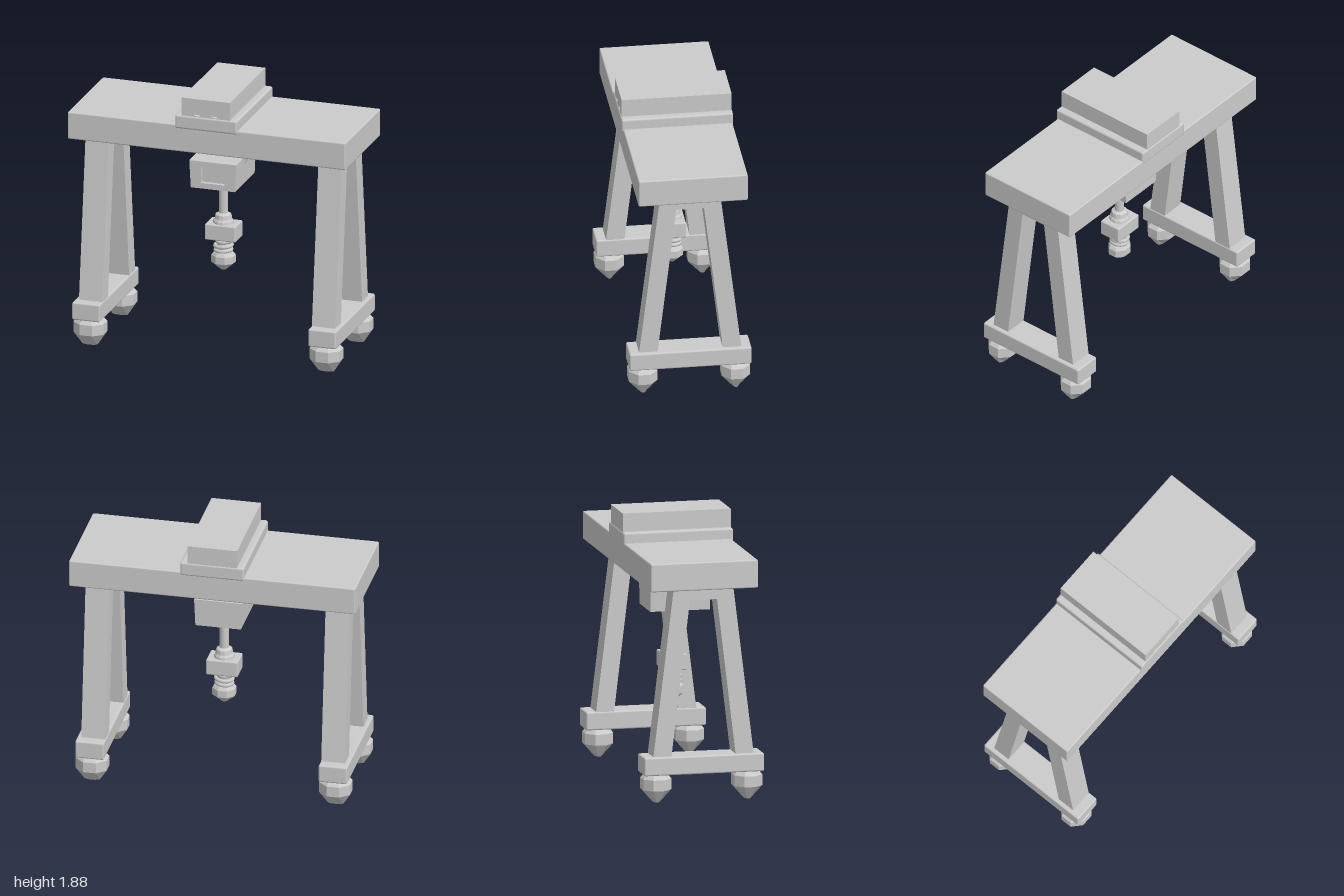
import * as THREE from 'three';
import { RoundedBoxGeometry } from 'three/addons/geometries/RoundedBoxGeometry.js';

const smooth = new THREE.MeshStandardMaterial({ color: 0xcccccc });
const flat = new THREE.MeshStandardMaterial({ color: 0xcccccc, flatShading: true });

function add(parent, name, geometry, material = flat) {
  const mesh = new THREE.Mesh(geometry, material);
  mesh.name = name;
  parent.add(mesh);
  return mesh;
}

// Softly rounded block given by its limits on each axis
function block(parent, name, [x0, x1], [y0, y1], [z0, z1], r = 0.01) {
  const geo = new RoundedBoxGeometry(x1 - x0, y1 - y0, z1 - z0, 2, r);
  geo.translate((x0 + x1) / 2, (y0 + y1) / 2, (z0 + z1) / 2);
  return add(parent, name, geo, smooth);
}

const polygon = (points) => new THREE.Shape(points.map(([x, y]) => new THREE.Vector2(x, y)));
const rect = (x0, x1, y0, y1) => polygon([[x0, y0], [x1, y0], [x1, y1], [x0, y1]]);

function extrude(shape, z0, z1) {
  return new THREE.ExtrudeGeometry(shape, { depth: z1 - z0, bevelEnabled: false }).translate(0, 0, z0);
}

// Solid outline whose front face carries shallow recesses
function recessedCase(parent, name, outline, holes, z0, z1, depth) {
  const group = new THREE.Group();
  group.name = name;
  add(group, name + 'Body', extrude(polygon(outline), z0, z1 - depth));
  const front = polygon(outline);
  front.holes = holes;
  add(group, name + 'Front', extrude(front, z1 - depth, z1));
  parent.add(group);
}

// Turned part from [radius, y] pairs, listed bottom to top
function turned(parent, name, profile, sides, material = flat) {
  const geo = new THREE.LatheGeometry(profile.map(([r, y]) => new THREE.Vector2(r, y)), sides, Math.PI / sides);
  return add(parent, name, geo, material);
}

function createModel() {
  const model = new THREE.Group();
  model.name = 'gantryCrane';

  // Main beam and the trolley riding on it
  block(model, 'beam', [-1, 1], [1.49, 1.685], [-0.387, 0.365]);
  block(model, 'trolleyBase', [-0.223, 0.223], [1.66, 1.758], [-0.392, 0.377], 0.014);
  recessedCase(model, 'trolleyCab',
    [[-0.175, 1.74], [0.172, 1.74], [0.172, 1.885], [-0.175, 1.885]],
    [rect(-0.085, -0.045, 1.762, 1.785), rect(0.04, 0.08, 1.762, 1.785)], -0.387, 0.37, 0.025);

  // A-shaped legs, foot beams and wheels, mirrored left and right
  for (const side of [-1, 1]) {
    const leg = new THREE.Group();
    leg.name = side < 0 ? 'rightLeg' : 'leftLeg';
    leg.position.x = side * 0.838;
    model.add(leg);

    const frame = polygon([[-0.355, 0.3], [-0.228, 0.3], [-0.095, 1.41], [0.095, 1.41],
      [0.228, 0.3], [0.355, 0.3], [0.208, 1.5], [-0.208, 1.5]]);
    add(leg, 'legFrame', extrude(frame, -0.083, 0.083).rotateY(Math.PI / 2));
    block(leg, 'footBeam', [-0.1 + side * 0.012, 0.1 + side * 0.012], [0.205, 0.332], [-0.42, 0.42], 0.012);

    for (const z of [-0.318, 0.32]) {
      // Faceted wheel that narrows to a wedge at the ground
      const wheel = turned(leg, 'wheel', [[0, 0.008], [0.055, 0.012], [0.112, 0.1],
        [0.112, 0.175], [0.085, 0.205], [0.05, 0.215]], 8);
      const p = wheel.geometry.attributes.position;
      for (let i = 0; i < p.count; i++) {
        const squash = p.getY(i) < 0.05 ? 0.45 : 0.95;
        p.setX(i, p.getX(i) * 1.05);
        p.setZ(i, p.getZ(i) * squash);
      }
      wheel.geometry.computeVertexNormals();
      wheel.position.set(side * 0.012, 0, z);
    }
  }

  // Hoist housing with its window, hung from two straps and a centre pin
  const hoist = new THREE.Group();
  hoist.name = 'hoist';
  model.add(hoist);
  recessedCase(hoist, 'hoistHousing',
    [[-0.158, 1.19], [0.16, 1.19], [0.169, 1.385], [-0.169, 1.385]],
    [rect(-0.085, 0.085, 1.23, 1.345)], -0.19, 0.228, 0.03);
  for (const side of [-1, 1]) {
    const strap = polygon([[0.135, 1.33], [0.167, 1.33], [0.185, 1.42], [0.185, 1.5], [0.13, 1.5]]
      .map(([x, y]) => [x * side, y]));
    add(hoist, 'strap', extrude(strap, -0.022, 0.045));
  }
  turned(hoist, 'hangerPin', [[0.022, 1.38], [0.026, 1.42], [0.038, 1.44], [0.038, 1.475], [0.03, 1.5]], 12, smooth);

  // Hoist rod with flange and collar
  turned(hoist, 'rodFlange', [[0.03, 1.155], [0.05, 1.16], [0.07, 1.178], [0.07, 1.195]], 16);
  turned(hoist, 'rod', [[0.032, 0.93], [0.032, 1.18]], 16, smooth);
  turned(hoist, 'collar', [[0.074, 0.87], [0.07, 0.895], [0.06, 0.91], [0.055, 0.94], [0.032, 0.952]], 12);
  block(hoist, 'loadBlock', [-0.111, 0.111], [0.765, 0.88], [-0.083, 0.077]);

  // Spring rings around the neck and the pointed tip
  turned(hoist, 'neck', [[0.042, 0.65], [0.042, 0.77]], 16, smooth);
  for (const [y, r] of [[0.745, 0.042], [0.715, 0.058], [0.683, 0.055]]) {
    const ring = add(hoist, 'springRing', new THREE.TorusGeometry(r, 0.014, 8, 24).rotateX(Math.PI / 2), smooth);
    ring.position.y = y;
    ring.rotation.z = 0.06;
  }
  const tip = turned(hoist, 'tip', [[0, 0.538], [0.02, 0.542], [0.085, 0.595], [0.085, 0.645],
    [0.07, 0.665], [0, 0.672]], 8);
  tip.scale.z = 0.9;

  return model;
}

export { createModel };
